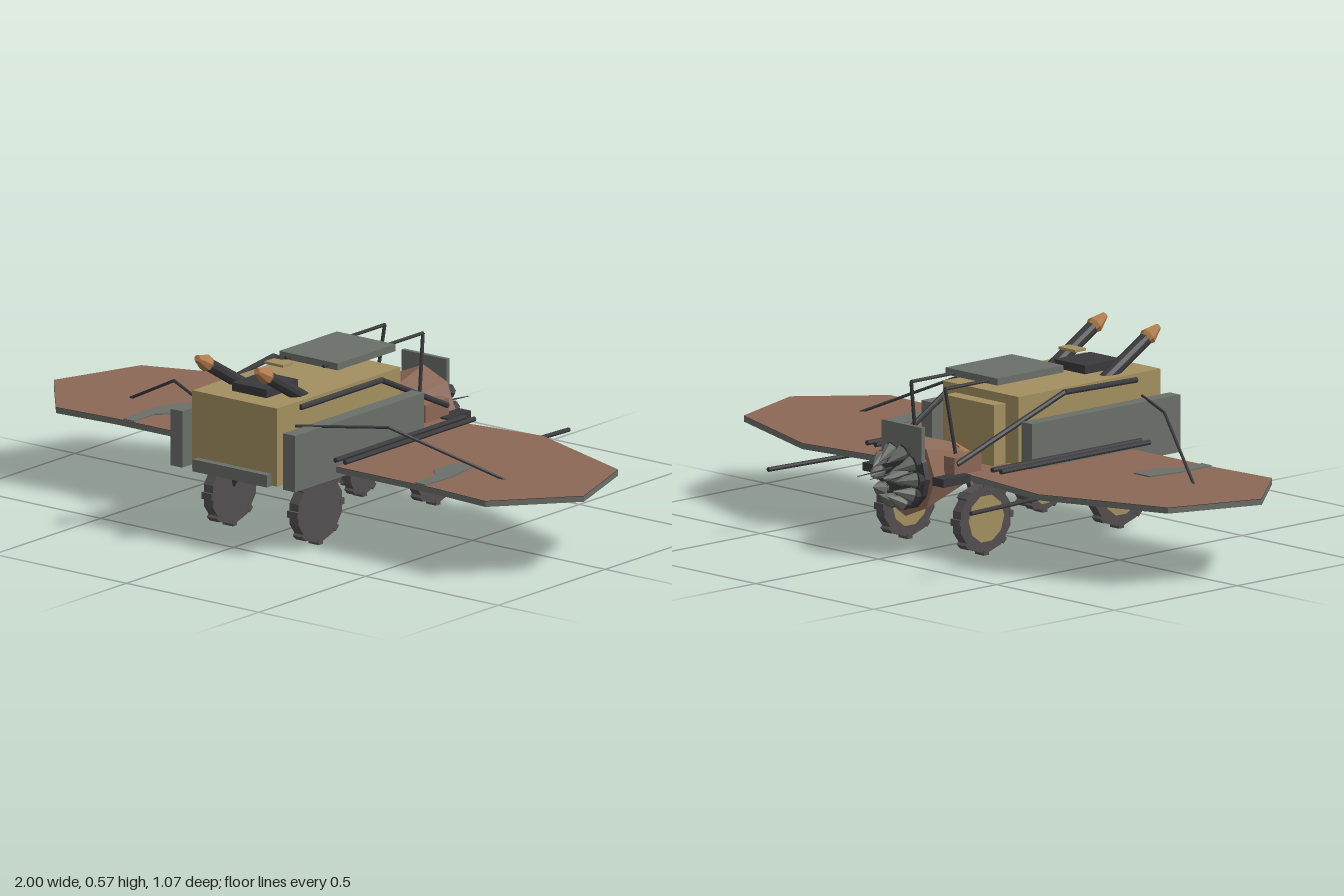
import * as THREE from 'three';

const mat = (name, color, extra = {}) => {
  const m = new THREE.MeshStandardMaterial({ color, ...extra });
  m.name = name;
  return m;
};

export function createModel() {
  const tan = mat('tan', 0xa39060), brown = mat('brown', 0x8b6857), grey = mat('grey', 0x6b6f69);
  const dark = mat('dark metal', 0x3a393c), tyre = mat('tyre', 0x544f50);
  const copper = mat('copper', 0xb07a4a), black = mat('underside black', 0x2b2829);
  for (const m of [tan, brown, grey, dark, tyre, copper, black]) m.flatShading = true;

  const model = new THREE.Group();
  const add = (name, geo, material, parent = model) => {
    const mesh = new THREE.Mesh(geo, material);
    mesh.name = name;
    parent.add(mesh);
    return mesh;
  };
  // Box given by its minimum and maximum along each axis
  const box = (name, m, x0, x1, y0, y1, z0, z1) =>
    add(name, new THREE.BoxGeometry(x1 - x0, y1 - y0, z1 - z0), m)
      .position.set((x0 + x1) / 2, (y0 + y1) / 2, (z0 + z1) / 2);
  // Tapered round bar between two points
  const up = new THREE.Vector3(0, 1, 0);
  const bar = (name, m, a, b, r0, r1 = r0, sides = 8) => {
    const p = new THREE.Vector3(...a), q = new THREE.Vector3(...b);
    const mesh = add(name, new THREE.CylinderGeometry(r1, r0, p.distanceTo(q), sides), m);
    mesh.position.copy(p).lerp(q, 0.5);
    mesh.quaternion.setFromUnitVectors(up, q.sub(p).normalize());
    return mesh;
  };
  const path = (name, m, pts, r) => {
    for (let i = 1; i < pts.length; i++) bar(name, m, pts[i - 1], pts[i], r);
  };
  // Flat outline in x and z
  const outline = (pts, s) => new THREE.Shape(pts.map(([x, z]) => new THREE.Vector2(s * x, -z)));

  // Hull
  box('mainBody', tan, -0.16, 0.16, 0.212, 0.45, -0.085, 0.494);
  box('rearCabin', tan, -0.105, 0.105, 0.24, 0.423, -0.13, -0.085);
  box('belly', brown, -0.14, 0.14, 0.2, 0.226, -0.22, 0.42);
  box('frontBumper', grey, -0.14, 0.14, 0.211, 0.248, 0.49, 0.517);

  // Roof fittings
  box('roofPanel', grey, -0.11, 0.11, 0.482, 0.503, -0.122, 0.148);
  box('roofHatch', dark, -0.065, 0.065, 0.45, 0.476, 0.278, 0.425);
  box('hatchPlate', tan, -0.035, 0.035, 0.512, 0.52, 0.265, 0.31);

  // Rear engine: flared shroud, nose cone, back plate and upright fin plate
  const cy = 0.238;
  bar('engineShroud', brown, [0, cy, -0.2], [0, cy, -0.39], 0.07, 0.125, 8);
  bar('engineNose', copper, [0, 0.265, -0.21], [0, 0.255, -0.13], 0.05, 0.015, 8);
  bar('engineBackPlate', dark, [0, cy, -0.388], [0, cy, -0.405], 0.105, 0.1, 12);
  box('finPlate', grey, -0.085, 0.085, 0.29, 0.393, -0.407, -0.393);
  // Ring of exhaust spikes with needles
  for (let i = 0; i < 10; i++) {
    const a = (i / 10) * Math.PI * 2, c = Math.cos(a), s = Math.sin(a);
    bar('exhaustSpikeBase', dark, [c * 0.085, cy + s * 0.085, -0.4], [c * 0.08, cy + s * 0.08, -0.425], 0.014, 0.024, 7);
    bar('exhaustSpike', grey, [c * 0.08, cy + s * 0.08, -0.425], [c * 0.052, cy + s * 0.052, -0.482], 0.024, 0.001, 7);
  }
  bar('centreSpike', grey, [0, cy, -0.4], [0, cy, -0.48], 0.035, 0.002, 8);
  for (const x of [-0.055, 0, 0.055])
    bar('exhaustNeedle', dark, [x * 0.8, cy + 0.015, -0.4], [x, cy + 0.006, -0.535], 0.004, 0.001, 5);

  const wingPts = [[0.12, -0.28], [0.2, -0.29], [0.5, -0.33], [0.9, -0.185], [1, 0.1],
    [0.81, 0.325], [0.6, 0.31], [0.12, 0.31]];
  const patchPts = [[0.49, 0.07], [0.555, 0.07], [0.575, 0.18], [0.57, 0.308], [0.53, 0.308], [0.53, 0.21], [0.49, 0.17]];

  for (const s of [-1, 1]) {
    // Wing slab with a painted top skin and patch
    const slab = new THREE.ExtrudeGeometry(outline(wingPts, s), { depth: 0.017, bevelEnabled: false });
    add('wing', slab.rotateX(-Math.PI / 2), [black, grey]).position.y = 0.228;
    add('wingSkin', new THREE.ShapeGeometry(outline(wingPts, s)).rotateX(-Math.PI / 2), brown).position.y = 0.2465;
    const patch = new THREE.ExtrudeGeometry(outline(patchPts, s), { depth: 0.004, bevelEnabled: false });
    add('wingPatch', patch.rotateX(-Math.PI / 2), grey).position.y = 0.2465;
    const sbox = (name, m, x0, x1, ...yz) => box(name, m, Math.min(s * x0, s * x1), Math.max(s * x0, s * x1), ...yz);
    sbox('underwingPod', grey, 0.49, 0.555, 0.19, 0.228, 0.08, 0.165);

    // Armour panel and brackets beside the hull
    sbox('sidePanel', grey, 0.19, 0.235, 0.21, 0.382, -0.1, 0.503);
    sbox('engineBracket', dark, 0.125, 0.172, 0.225, 0.25, -0.4, -0.29);
    sbox('engineBlock', brown, 0.1, 0.145, 0.235, 0.3, -0.33, -0.22);

    // Rods lying along the wing root
    for (const x of [0.248, 0.284])
      bar('wingRod', dark, [s * x, 0.272, -0.275], [s * x, 0.272, 0.33], 0.008);
    // Long rod under the wing
    bar('underwingRod', dark, [s * 0.39, 0.208, 0.08], [s * 0.43, 0.208, -0.537], 0.007);
    bar('underwingRodSleeve', grey, [s * 0.386, 0.21, 0.177], [s * 0.392, 0.21, 0.06], 0.012);

    // Pipes, stays and roof rails
    path('sidePipe', dark, [[s * 0.165, 0.432, 0.39], [s * 0.205, 0.45, 0.06], [s * 0.145, 0.28, -0.32]], 0.009);
    path('wingStay', dark, [[s * 0.165, 0.381, 0.415], [s * 0.405, 0.388, 0.275], [s * 0.715, 0.24, 0.1]], 0.0045);
    path('roofRail', dark, [[s * 0.072, 0.492, 0.167], [s * 0.072, 0.492, -0.298], [s * 0.085, 0.27, -0.263]], 0.0055);

    // Raised guns
    bar('gunBarrel', dark, [s * 0.113, 0.435, 0.31], [s * 0.113, 0.54, 0.488], 0.021, 0.02, 10);
    bar('gunCollar', copper, [s * 0.113, 0.533, 0.476], [s * 0.113, 0.54, 0.488], 0.02, 0.026, 8);
    bar('gunTip', copper, [s * 0.113, 0.54, 0.488], [s * 0.113, 0.564, 0.53], 0.026, 0.01, 8);

    // Wheels with tread lugs and hub plates: [x, y, z, radius, width]
    for (const [x, y, z, r, w] of [[0.162, 0.11, 0.315, 0.106, 0.034], [0.162, 0.11, -0.235, 0.106, 0.034],
      [0.116, 0.147, 0.05, 0.063, 0.03]]) {
      const wheel = new THREE.Group();
      wheel.name = 'wheel';
      wheel.position.set(s * x, y, z);
      model.add(wheel);
      add('tyre', new THREE.CylinderGeometry(r, r, w, 10).rotateZ(Math.PI / 2).rotateX(Math.PI / 10), tyre, wheel);
      add('hub', new THREE.CylinderGeometry(r * 0.68, r * 0.68, 0.004, 10).rotateZ(Math.PI / 2), tan, wheel).position.x = -w / 2 - 0.001;
      for (let i = 0; i < 8; i++) {
        const lug = add('treadLug', new THREE.BoxGeometry(w + 0.004, 0.016, 0.02), tyre, wheel);
        lug.rotation.x = (i / 8) * Math.PI * 2;
        lug.position.set(0, Math.cos(lug.rotation.x) * (r - 0.004), Math.sin(lug.rotation.x) * (r - 0.004));
      }
      // Axle stub into the hull
      bar('axle', dark, [s * x, y, z], [s * (x - 0.05), 0.21, z], 0.012);
    }
  }
  return model;
}
